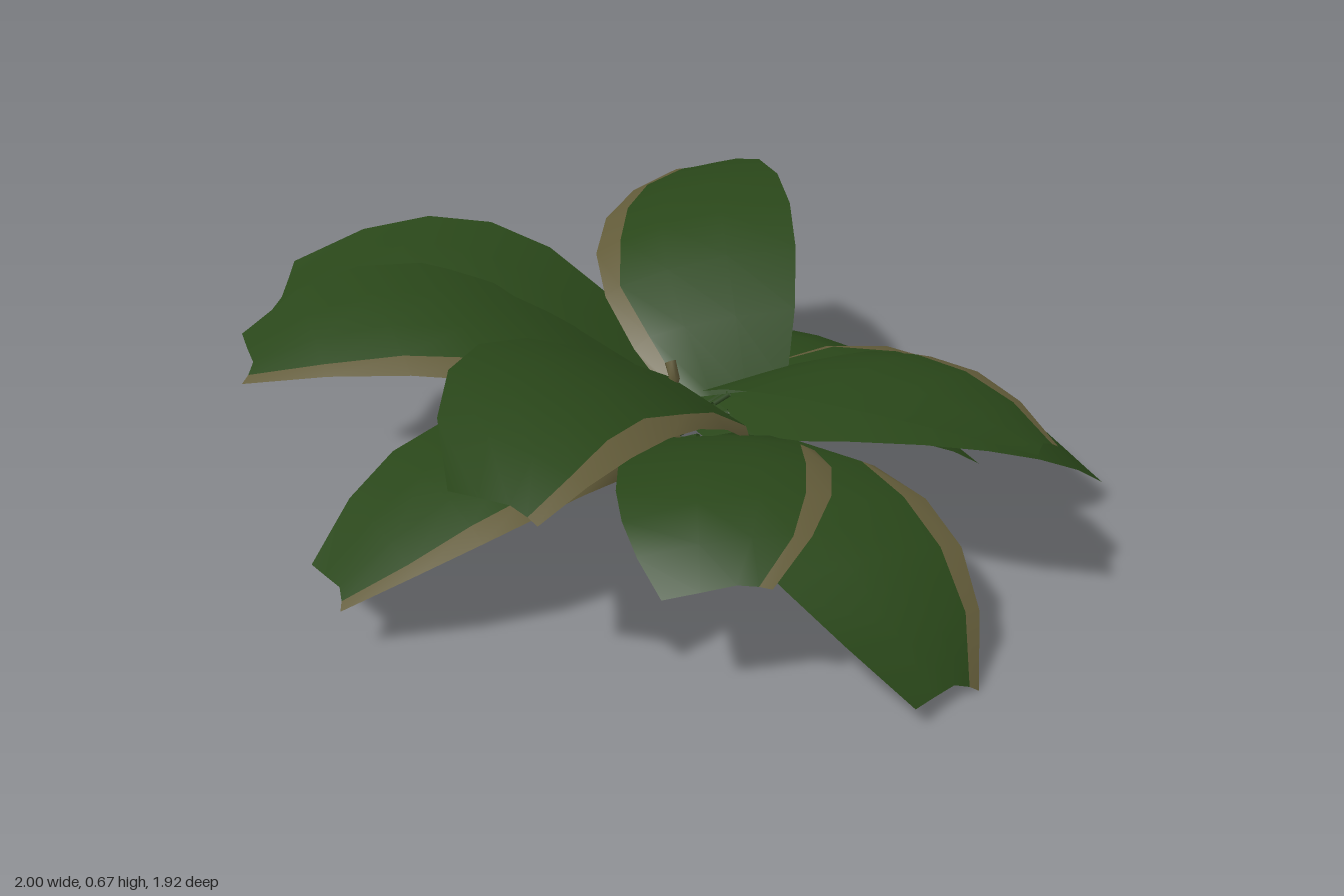
import * as THREE from 'three';

const leafGreen = new THREE.MeshStandardMaterial({ color: 0x294619, side: THREE.DoubleSide });
leafGreen.name = 'leafGreen';
const edgeTan = new THREE.MeshStandardMaterial({ color: 0x625b39, side: THREE.DoubleSide });
edgeTan.name = 'edgeTan';

const V = (p) => new THREE.Vector3(...p);

// Quadratic curve that passes through its middle point
function edgeCurve(base, mid, tip) {
  const a = V(base), b = V(tip);
  const control = V(mid).multiplyScalar(2).addScaledVector(a, -0.5).addScaledVector(b, -0.5);
  return new THREE.QuadraticBezierCurve3(a, control, b);
}

// Arched blade spanned between a tan-striped edge and a plain edge
function bladeGeometry(striped, plain) {
  const rows = 6, cols = [0, 0.13, 0.35, 0.65, 1], n = cols.length;
  const left = edgeCurve(...striped), right = edgeCurve(...plain);
  const position = [], stripe = [], green = [];
  for (let i = 0; i <= rows; i++) {
    const u = i / rows;
    const fold = (1 - u) ** 2; // the striped rim folds under towards the base
    cols.forEach((c, j) => {
      let v = c;
      if (j === 0) v = 0.08 * fold;
      if (j === 1) v += 0.02 * Math.sin(i * 2.3);
      // the tip is slightly notched between its two corners
      const t = i === rows && j > 0 && j < n - 1 ? 0.975 + 0.012 * (j % 2) : u;
      const p = left.getPoint(t).lerp(right.getPoint(t), v);
      p.y += 0.03 * Math.sin(Math.PI * v) * Math.sin(Math.PI * u);
      if (j === 0) p.y -= 0.03 * fold;
      position.push(p.x, p.y, p.z);
    });
  }
  for (let i = 0; i < rows; i++) {
    for (let j = 0; j < n - 1; j++) {
      const a = i * n + j, b = a + n;
      (j === 0 ? stripe : green).push(a, a + 1, b, a + 1, b + 1, b);
    }
  }
  const g = new THREE.BufferGeometry();
  g.setAttribute('position', new THREE.Float32BufferAttribute(position, 3));
  g.setIndex([...stripe, ...green]);
  g.addGroup(0, stripe.length, 0);
  g.addGroup(stripe.length, green.length, 1);
  g.computeVertexNormals();
  return g;
}

export function createModel() {
  const plant = new THREE.Group();
  plant.name = 'plant';
  const root = new THREE.Vector3(-0.16, 0.18, -0.16);

  // One leaf: each edge is given as base, middle, tip
  function leaf(name, striped, plain) {
    const group = new THREE.Group();
    group.name = name;
    const blade = new THREE.Mesh(bladeGeometry(striped, plain), [edgeTan, leafGreen]);
    blade.name = 'blade';
    const end = V(striped[0]).lerp(V(plain[0]), 0.5);
    // stems leave the root in a loose ring
    const angle = plant.children.length * 2.4;
    const start = root.clone().add(V([0.04 * Math.cos(angle), 0, 0.04 * Math.sin(angle)]));
    const bend = start.clone().lerp(end, 0.6);
    bend.y -= 0.02;
    const path = new THREE.QuadraticBezierCurve3(start, bend, end);
    const stem = new THREE.Mesh(new THREE.TubeGeometry(path, 4, 0.008, 5), leafGreen);
    stem.name = 'stem';
    group.add(blade, stem);
    plant.add(group);
  }

  // Upper leaves
  leaf('upperLeafBackRight',
    [[-0.07, 0.35, -0.02], [-0.03, 0.55, -0.52], [0.45, 0.57, -0.96]],
    [[0.22, 0.34, 0.03], [0.46, 0.65, -0.36], [0.6, 0.6, -0.88]]);
  leaf('upperLeafBackLeft',
    [[-0.2, 0.34, 0], [-0.58, 0.53, -0.3], [-0.84, 0.45, -0.72]],
    [[0, 0.37, -0.2], [-0.25, 0.63, -0.65], [-0.7, 0.53, -0.88]]);
  leaf('upperLeafLeft',
    [[-0.1, 0.32, 0.1], [-0.54, 0.52, 0.02], [-1, 0.47, -0.34]],
    [[-0.06, 0.37, -0.17], [-0.5, 0.62, -0.49], [-0.94, 0.51, -0.53]]);
  leaf('upperLeafFrontLeft',
    [[0.04, 0.33, 0.2], [-0.33, 0.53, 0.48], [-0.7, 0.49, 0.62]],
    [[-0.04, 0.38, -0.08], [-0.56, 0.61, 0.01], [-0.83, 0.54, 0.49]]);
  leaf('upperLeafFrontRight',
    [[0.22, 0.34, -0.02], [0.43, 0.5, 0.33], [0.5, 0.41, 0.71]],
    [[0.01, 0.36, -0.01], [0, 0.54, 0.48], [0.37, 0.46, 0.8]]);

  // Lower leaves
  leaf('lowerLeafFrontLeft',
    [[0.08, 0.27, 0.1], [0.06, 0.38, 0.5], [-0.26, 0.3, 0.77]],
    [[-0.15, 0.28, 0], [-0.43, 0.4, 0.41], [-0.46, 0.28, 0.67]]);
  leaf('lowerLeafFront',
    [[0.1, 0.25, 0.03], [0.28, 0.27, 0.55], [0.17, 0, 0.91]],
    [[-0.12, 0.25, 0], [-0.22, 0.29, 0.55], [-0.03, 0.05, 0.96]]);
  leaf('lowerLeafRight',
    [[0.1, 0.28, -0.2], [0.62, 0.31, -0.14], [1, 0.04, 0.16]],
    [[0.08, 0.28, 0.15], [0.54, 0.26, 0.42], [0.95, 0.05, 0.37]]);
  leaf('lowerLeafInnerRight',
    [[0.02, 0.23, -0.17], [0.42, 0.24, -0.15], [0.74, 0.06, 0.03]],
    [[0.02, 0.23, 0], [0.38, 0.24, 0.2], [0.69, 0.09, 0.2]]);
  leaf('lowerLeafBackRight',
    [[-0.07, 0.23, -0.2], [0.27, 0.29, -0.52], [0.57, 0.08, -0.63]],
    [[0.08, 0.25, -0.02], [0.55, 0.28, -0.12], [0.7, 0.1, -0.47]]);
  leaf('lowerLeafBack',
    [[-0.15, 0.25, -0.12], [-0.19, 0.37, -0.48], [0, 0.22, -0.85]],
    [[0.06, 0.25, -0.1], [0.28, 0.34, -0.48], [0.21, 0.2, -0.83]]);
  leaf('lowerLeafLeft',
    [[-0.17, 0.2, 0], [-0.54, 0.3, 0.27], [-0.96, 0.11, 0.13]],
    [[-0.14, 0.22, -0.15], [-0.57, 0.32, -0.23], [-0.96, 0.13, -0.06]]);

  // Young rolled shoot in the middle
  const shootPath = new THREE.CatmullRomCurve3(
    [root, V([-0.07, 0.3, -0.09]), V([-0.05, 0.4, -0.04]), V([-0.05, 0.43, -0.06])]);
  const shoot = new THREE.Mesh(new THREE.TubeGeometry(shootPath, 8, 0.014, 6), edgeTan);
  shoot.name = 'youngShoot';
  plant.add(shoot);
  return plant;
}
